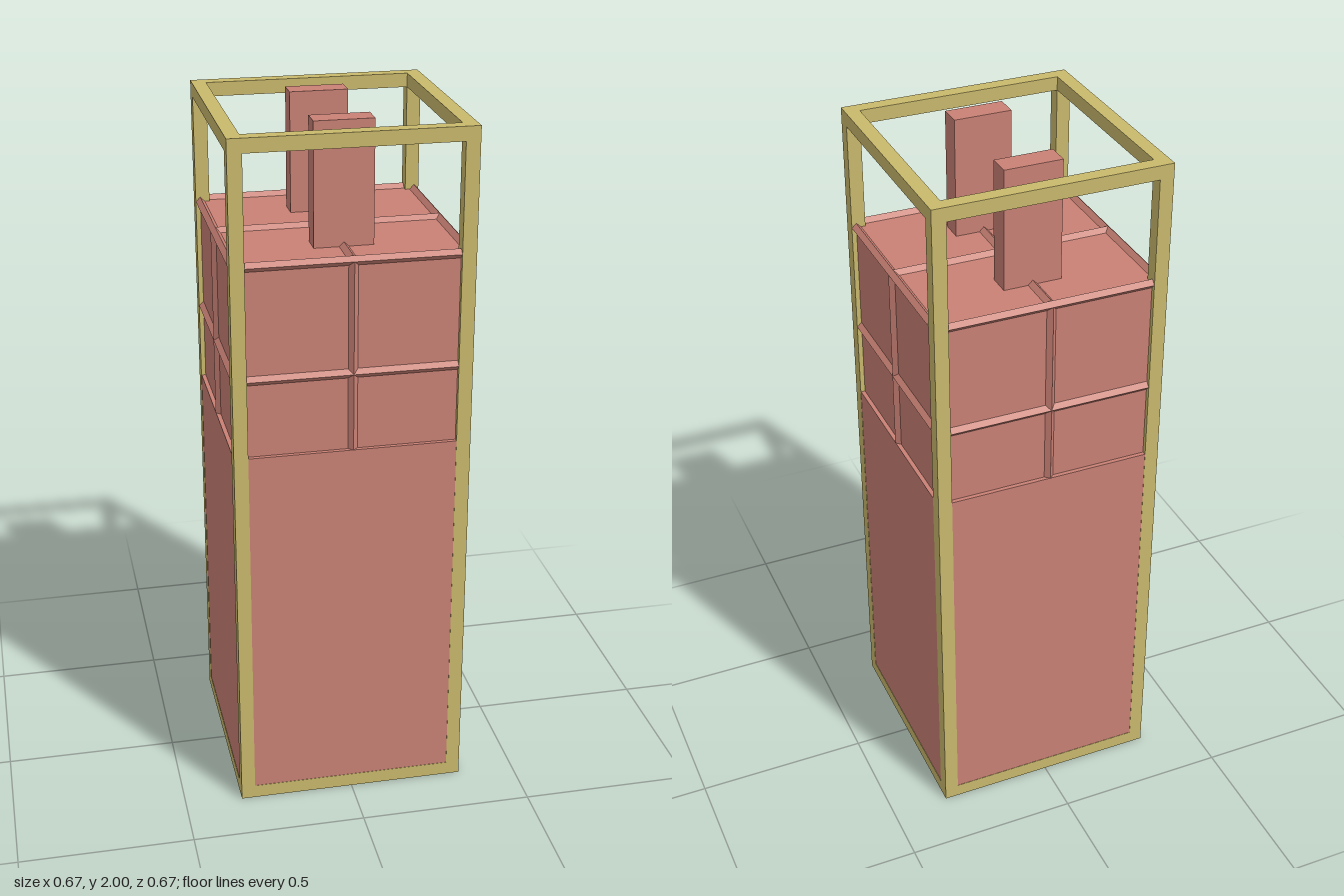
import * as THREE from 'three';

export function createModel() {
  const model = new THREE.Group();
  const red = new THREE.MeshStandardMaterial({ color: 0xc98175 });
  red.name = 'dustyRed';
  const olive = new THREE.MeshStandardMaterial({ color: 0xc9b96c });
  olive.name = 'oliveYellow';

  function box(name, material, size, position, parent = model) {
    const mesh = new THREE.Mesh(new THREE.BoxGeometry(...size), material);
    mesh.name = name;
    mesh.position.set(...position);
    parent.add(mesh);
    return mesh;
  }

  const half = 1 / 3, height = 2, bar = 0.04;
  const ridge = 0.0133;            // half width of the raised ridges
  const core = half - ridge;       // half width of the upper block
  const lowerTop = 1.11, upperTop = 5 / 3 - ridge;

  // Open frame: four posts joined by a ring of rails at each end
  const frame = new THREE.Group();
  frame.name = 'frame';
  model.add(frame);
  const c = half - bar / 2, span = 2 * (half - bar);
  for (const s of [-1, 1]) {
    for (const t of [-1, 1]) box('cornerPost', olive, [bar, height, bar], [s * c, height / 2, t * c], frame);
    for (const y of [bar / 2, height - bar / 2]) {
      box('sideRail', olive, [bar, bar, span], [s * c, y, 0], frame);
      box('crossRail', olive, [span, bar, bar], [0, y, s * c], frame);
    }
  }

  // Solid body, nearly flush with the frame, and the slimmer block on it
  const inset = 0.001, w = 2 * (half - inset);
  box('lowerBlock', red, [w, lowerTop - inset, w], [0, (lowerTop + inset) / 2, 0]);
  box('upperBlock', red, [2 * core, upperTop - lowerTop, 2 * core], [0, (upperTop + lowerTop) / 2, 0]);

  // Diamond-section ridges, half sunk into the upper block
  const ridges = new THREE.Group();
  ridges.name = 'ridges';
  model.add(ridges);
  const side = ridge * Math.SQRT2;
  function addRidge(axis, length, position) {
    const size = { x: side, y: side, z: side };
    size[axis] = length;
    const mesh = box('ridge', red, [size.x, size.y, size.z], position, ridges);
    mesh.rotation[axis] = Math.PI / 4;
  }
  const long = 2 * core;
  for (const s of [-1, 1]) {
    for (const y of [4 / 3, upperTop]) {
      addRidge('x', long, [0, y, s * core]);
      addRidge('z', long, [s * core, y, 0]);
    }
    const rise = upperTop - lowerTop, mid = (upperTop + lowerTop) / 2;
    addRidge('y', rise, [0, mid, s * core]);
    addRidge('y', rise, [s * core, mid, 0]);
  }
  addRidge('x', long, [0, upperTop, 0]);
  addRidge('z', long, [0, upperTop, 0]);

  // Two upright slabs on top
  for (const s of [-1, 1]) {
    box('uprightSlab', red, [1 / 6, height - upperTop, 1 / 15], [0, (height + upperTop) / 2, s / 6]);
  }

  return model;
}
